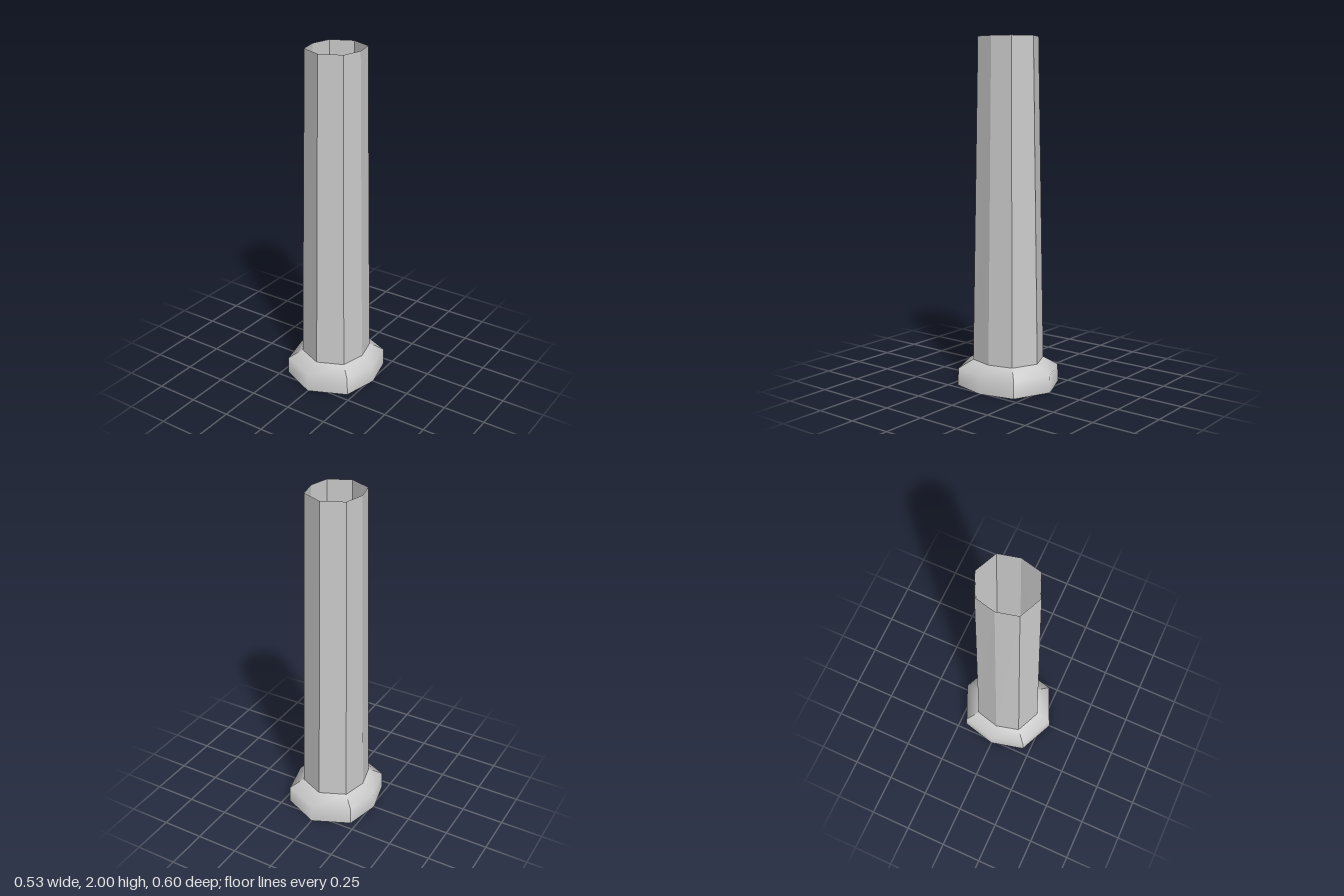
import * as THREE from 'three';

const material = new THREE.MeshStandardMaterial({ color: 0xcccccc, side: THREE.DoubleSide });
const flatMaterial = new THREE.MeshStandardMaterial({ color: 0xcccccc, side: THREE.DoubleSide, flatShading: true });

// Stretched octagon: x = side tip, z = front tip, (dx, dz) = diagonal corner
function ring(y, x, z, dx, dz) {
  return [[0, z], [dx, dz], [x, 0], [dx, -dz], [0, -z], [-dx, -dz], [-x, 0], [-dx, dz]]
    .map(([px, pz]) => [px, y, pz]);
}

// Skin over stacked rings, from corner `start` across `count` sides
function skin(rings, start, count) {
  const positions = [], indices = [], row = count + 1;
  for (const r of rings) {
    for (let i = 0; i <= count; i++) positions.push(...r[(start + i) % 8]);
  }
  for (let j = 0; j < rings.length - 1; j++) {
    for (let i = 0; i < count; i++) {
      const a = j * row + i, b = a + 1, c = a + row, d = c + 1;
      indices.push(a, b, d, a, d, c);
    }
  }
  const geometry = new THREE.BufferGeometry();
  geometry.setAttribute('position', new THREE.Float32BufferAttribute(positions, 3));
  geometry.setIndex(indices);
  geometry.computeVertexNormals();
  return geometry;
}

export function createModel() {
  const model = new THREE.Group();
  model.name = 'column';

  const collar = ring(0.15, 0.185, 0.209, 0.149, 0.143);

  // Hollow tapered shaft, open at both ends
  const shaft = new THREE.Mesh(
    skin([collar, ring(2, 0.153, 0.174, 0.125, 0.118)], 0, 8), flatMaterial);
  shaft.name = 'shaft';
  model.add(shaft);

  // Flared foot: four smooth panels meeting in creases at the diagonal corners
  const footRings = [
    ring(0, 0.266, 0.302, 0.216, 0.205),
    ring(0.1, 0.261, 0.297, 0.212, 0.202),
    collar,
  ];
  const foot = new THREE.Group();
  foot.name = 'foot';
  ['leftPanel', 'backPanel', 'rightPanel', 'frontPanel'].forEach((name, i) => {
    const panel = new THREE.Mesh(skin(footRings, 1 + i * 2, 2), material);
    panel.name = name;
    foot.add(panel);
  });
  model.add(foot);

  return model;
}
